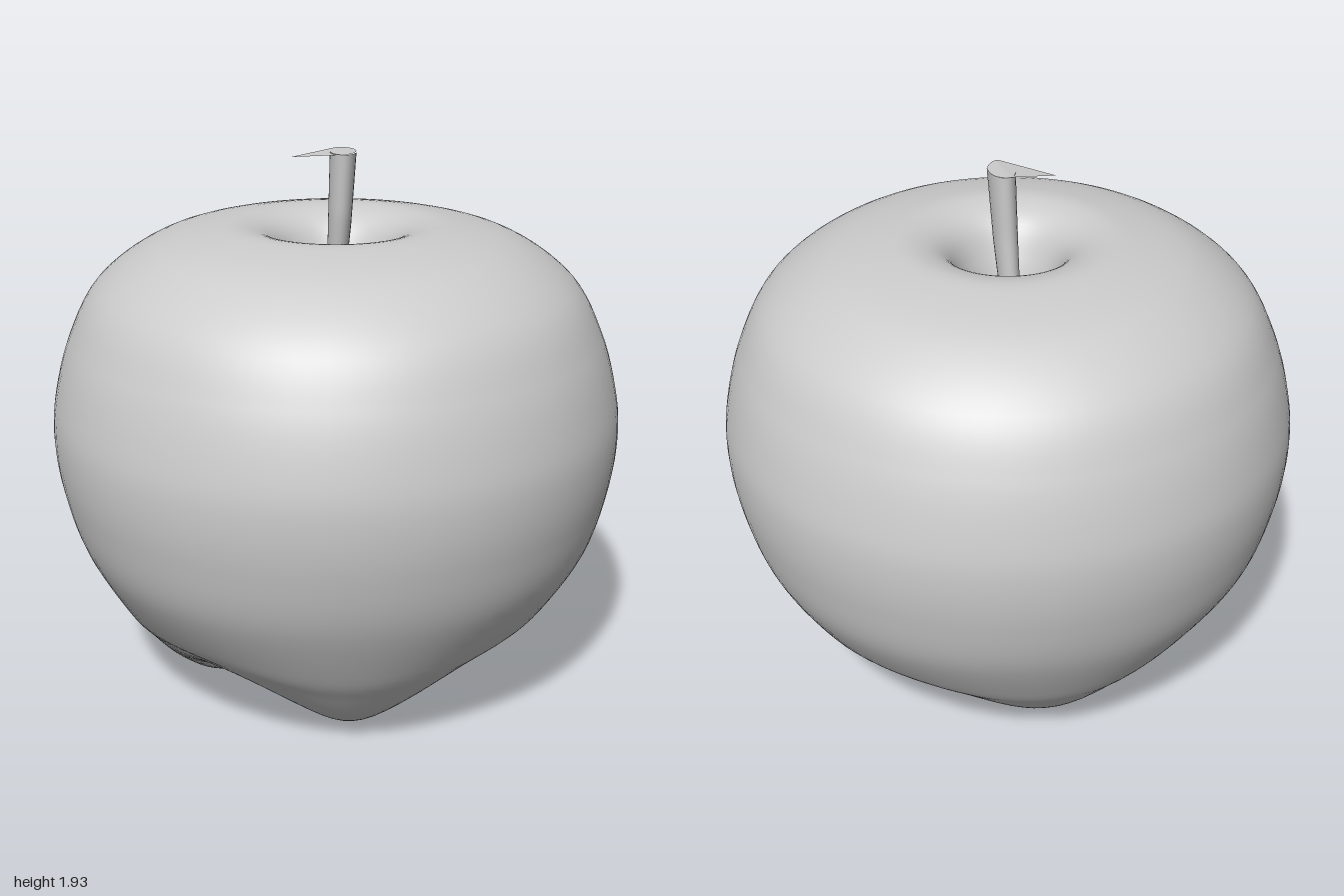
import * as THREE from 'three';
import { ParametricGeometry } from 'three/addons/geometries/ParametricGeometry.js';

const spline = (pts) => new THREE.SplineCurve(pts.map(([r, y]) => new THREE.Vector2(r, y)));

// Underside profiles (radius, height): through a lobe and through a groove
const lobeBase = [[0.004, 0.19], [0.12, 0.13], [0.25, 0.05], [0.38, 0], [0.5, 0.02], [0.62, 0.11], [0.72, 0.23], [0.8, 0.345]];
const grooveBase = [[0.004, 0.19], [0.12, 0.18], [0.25, 0.165], [0.38, 0.165], [0.5, 0.178], [0.61, 0.215], [0.705, 0.285], [0.79, 0.37]];

// Shared sides, shoulder and stem hollow
const upper = [
  [0.92, 0.58], [0.98, 0.79], [1, 0.97], [0.985, 1.12], [0.93, 1.31], [0.83, 1.49], [0.64, 1.625], [0.42, 1.682],
  [0.3, 1.68], [0.21, 1.63], [0.15, 1.52], [0.1, 1.38], [0.05, 1.28], [0.004, 1.26],
];

function createBody() {
  const lobe = spline([...lobeBase, ...upper]);
  const groove = spline([...grooveBase, ...upper]);
  const a = new THREE.Vector2(), b = new THREE.Vector2();
  return new ParametricGeometry((u, v, out) => {
    const t = u * Math.PI * 2, s = Math.sin(t), c = Math.cos(t);
    // Four lobes, the left and back ones slightly shorter
    let w = 0.5 + 0.5 * Math.cos(4 * t);
    w *= 1 - 0.24 * Math.max(0, s) ** 2 - 0.12 * Math.max(0, -c) ** 2;
    groove.getPoint(v, a).lerp(lobe.getPoint(v, b), w);
    out.set(a.x * s, a.y, a.x * c);
  }, 96, 110);
}

function createStem() {
  // Oval sections: y, centre x, centre z, half width, half depth
  const sections = [
    [1.24, 0, -0.085, 0.022, 0.025], [1.45, 0.005, -0.055, 0.032, 0.045],
    [1.68, 0.015, -0.022, 0.04, 0.062], [1.93, 0.025, -0.005, 0.045, 0.075],
  ];
  return new ParametricGeometry((u, v, out) => {
    const k = v * (sections.length - 1), i = Math.min(Math.floor(k), sections.length - 2);
    const [y, x, z, rx, rz] = sections[i].map((n, j) => THREE.MathUtils.lerp(n, sections[i + 1][j], k - i));
    const t = u * Math.PI * 2;
    out.set(x + rx * Math.sin(t), y, z + rz * Math.cos(t));
  }, 24, 12);
}

function createStemCap() {
  // Flat cut end, drawn out to a thin point on one side
  const shape = new THREE.Shape();
  shape.moveTo(-0.15, 0.05);
  shape.lineTo(0.015, -0.072);
  shape.bezierCurveTo(0.04, -0.07, 0.07, -0.03, 0.07, 0.01);
  shape.bezierCurveTo(0.07, 0.06, 0.045, 0.085, 0.01, 0.082);
  shape.closePath();
  const geometry = new THREE.ShapeGeometry(shape, 12).rotateX(-Math.PI / 2);
  // Let the point droop a little
  const p = geometry.attributes.position;
  for (let i = 0; i < p.count; i++) p.setY(i, 1.931 + Math.min(0, p.getX(i)) * 0.17);
  geometry.computeVertexNormals();
  return geometry;
}

export function createModel() {
  const group = new THREE.Group();
  group.name = 'apple';
  const solid = new THREE.MeshStandardMaterial({ color: 0xcccccc });
  const thin = new THREE.MeshStandardMaterial({ color: 0xcccccc, side: THREE.DoubleSide });
  const add = (name, geometry, material) => {
    const mesh = new THREE.Mesh(geometry, material);
    mesh.name = name;
    group.add(mesh);
  };
  add('appleBody', createBody(), solid);
  add('stem', createStem(), solid);
  add('stemCap', createStemCap(), thin);
  return group;
}
